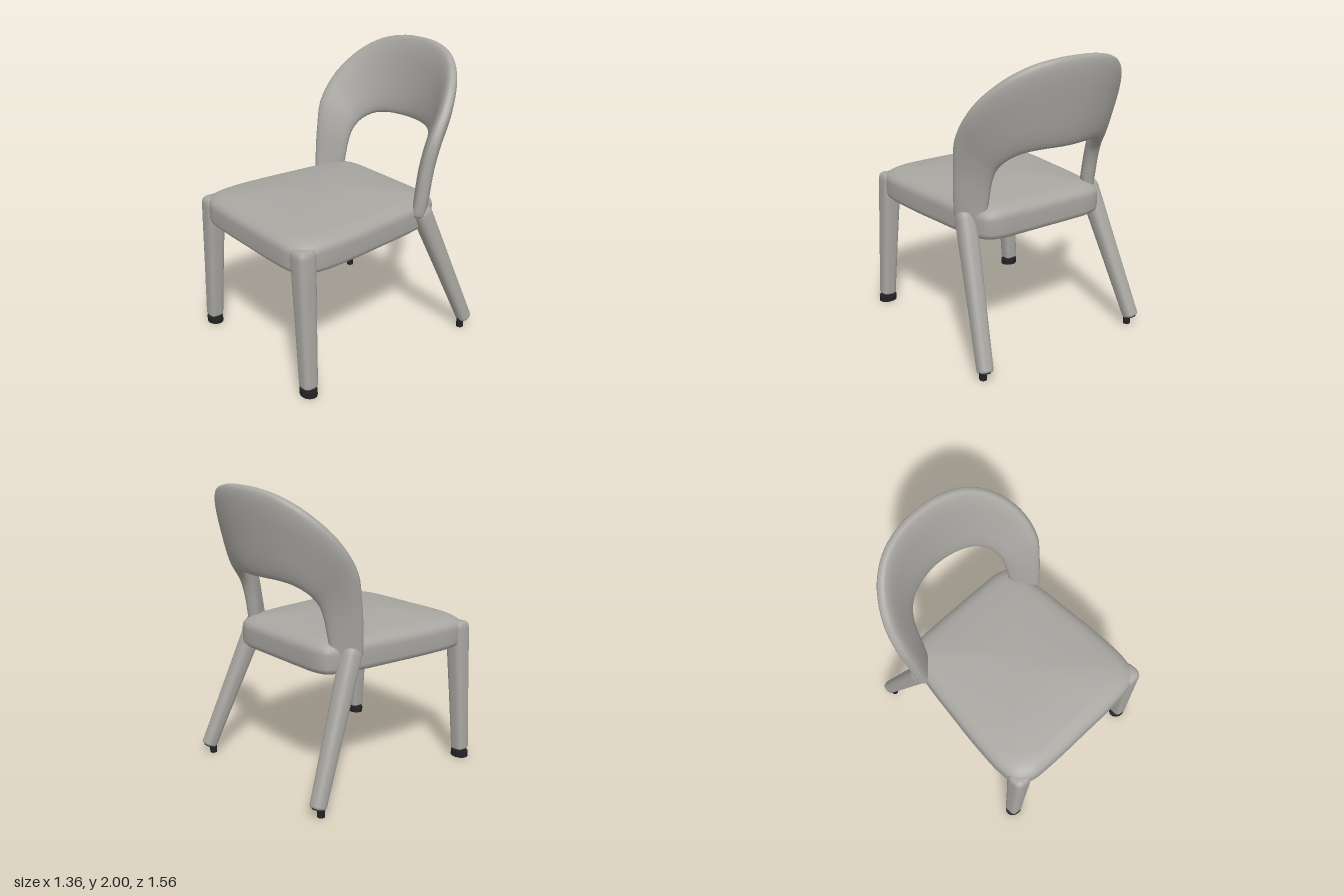
import * as THREE from 'three';

const V = (x, y, z) => new THREE.Vector3(x, y, z);

// Superellipse ring about c; u x v points along the direction of travel
function ring(c, u, v, power = 3, n = 36) {
  const soft = (k) => Math.sign(k) * Math.pow(Math.abs(k), 2 / power);
  return Array.from({ length: n }, (_, i) => {
    const t = (i / n) * Math.PI * 2;
    return c.clone().addScaledVector(u, soft(Math.cos(t))).addScaledVector(v, soft(Math.sin(t)));
  });
}

// Smooth closed skin over a list of rings with capped ends
function loft(rings) {
  const n = rings[0].length, last = rings.length - 1, index = [];
  const centre = (r) => r.reduce((s, p) => s.add(p), V(0, 0, 0)).divideScalar(n);
  const points = [...rings.flat(), centre(rings[0]), centre(rings[last])];
  const start = n * rings.length, end = start + 1;
  for (let j = 0; j < n; j++) {
    const k = (j + 1) % n;
    for (let i = 0; i < last; i++) {
      const a = i * n + j, b = i * n + k;
      index.push(a, b, b + n, a, b + n, a + n);
    }
    index.push(start, k, j, end, last * n + j, last * n + k);
  }
  const g = new THREE.BufferGeometry().setFromPoints(points);
  g.setIndex(index);
  g.computeVertexNormals();
  return g;
}

// Seat cushion: one outline stacked in rings, domed on top
function seatGeometry() {
  const half = [[0.3, 0.78], [0.46, 0.765], [0.55, 0.71], [0.582, 0.6], [0.58, 0.35], [0.555, 0.05],
    [0.53, -0.2], [0.5, -0.36], [0.46, -0.445], [0.38, -0.478], [0.2, -0.485]];
  const pts = [[0, 0.782], ...half, [0, -0.485], ...half.map(([x, z]) => [-x, z]).reverse()];
  const outline = new THREE.CatmullRomCurve3(pts.map(([x, z]) => V(x, 0, z)), true).getPoints(120).slice(0, 120);
  const zc = 0.15;
  const level = (inset, y) => outline.map((p) =>
    V(p.x * (1 - inset / 0.57), y, zc + (p.z - zc) * (1 - inset / 0.63)));
  const rings = [[0.07, 0.831], [0.05, 0.831], [0.02, 0.838], [0.006, 0.852], [0, 0.875], [0, 0.965],
    [0.004, 0.99], [0.016, 1.01], [0.04, 1.028]].map(([i, y]) => level(i, y));
  for (const s of [0.88, 0.8, 0.65, 0.5, 0.3, 0.12])
    rings.push(level(0.57 * (1 - s), 1.03 + 0.057 * (1 - s * s)));
  return loft(rings);
}

// Backrest: plate swept along the arch between its inner and outer edges
function backrestGeometry() {
  const outer = [[0.555, 0.97, -0.22], [0.57, 1.1, -0.235], [0.582, 1.3, -0.26], [0.597, 1.5, -0.31],
    [0.567, 1.7, -0.44], [0.465, 1.86, -0.585], [0.33, 1.95, -0.68], [0.17, 1.99, -0.73], [0, 2, -0.745]];
  const inner = [[0.42, 0.97, -0.38], [0.41, 1.08, -0.395], [0.405, 1.2, -0.42], [0.395, 1.29, -0.455],
    [0.365, 1.36, -0.51], [0.3, 1.41, -0.57], [0.21, 1.43, -0.615], [0.1, 1.435, -0.645], [0, 1.435, -0.655]];
  const arch = (h) => new THREE.CatmullRomCurve3(
    [...h, ...h.slice(0, -1).reverse().map(([x, y, z]) => [-x, y, z])].map((p) => V(...p)));
  const O = arch(outer), I = arch(inner), N = 72;
  const section = (t, scale, shift) => {
    const o = O.getPoint(t), i = I.getPoint(t);
    const w = o.clone().sub(i).multiplyScalar(0.5);
    const d = O.getTangent(t).add(I.getTangent(t)).normalize();
    const v = d.clone().cross(w).normalize();
    const c = o.add(i).multiplyScalar(0.5).addScaledVector(d, shift);
    return ring(c, w.multiplyScalar(scale), v.multiplyScalar(0.05 * scale), 3, 48);
  };
  const rings = [section(0, 0.65, -0.035), section(0, 0.9, -0.022)];
  for (let k = 0; k <= N; k++) rings.push(section(k / N, 1, 0));
  rings.push(section(1, 0.9, 0.022), section(1, 0.65, 0.035));
  return loft(rings);
}

// Tapered leg from foot to top with softened ends
function legGeometry(foot, top, r0, r1, power) {
  const d = top.clone().sub(foot), length = d.length();
  d.normalize();
  const v = V(1, 0, 0).addScaledVector(d, -d.x).normalize(), u = v.clone().cross(d);
  const stations = [[0, r0 * 0.75], [0.003, r0 * 0.9], [0.015, r0], [length * 0.45, r0 + (r1 - r0) * 0.42],
    [length * 0.8, r0 + (r1 - r0) * 0.85], [length - 0.05, r1], [length - 0.02, r1 * 0.93],
    [length - 0.006, r1 * 0.75], [length, r1 * 0.45]];
  return loft(stations.map(([s, r]) => ring(foot.clone().addScaledVector(d, s),
    u.clone().multiplyScalar(r), v.clone().multiplyScalar(r), power)));
}

export function createModel() {
  const model = new THREE.Group();
  model.name = 'chair';
  const fabric = new THREE.MeshStandardMaterial({ color: 0xa8a6a1 });
  fabric.name = 'grey upholstery';
  const rubber = new THREE.MeshStandardMaterial({ color: 0x222222 });
  rubber.name = 'black rubber';
  const add = (name, geometry, material) => {
    const m = new THREE.Mesh(geometry, material);
    m.name = name;
    model.add(m);
    return m;
  };

  add('seat', seatGeometry(), fabric);
  add('backrest', backrestGeometry(), fabric);

  for (const [side, s] of [['left', 1], ['right', -1]]) {
    add(side + 'FrontLeg', legGeometry(V(s * 0.572, 0.055, 0.717), V(s * 0.515, 1.005, 0.7), 0.053, 0.07, 3.2), fabric);
    add(side + 'BackLeg', legGeometry(V(s * 0.63, 0.066, -0.657), V(s * 0.512, 1.0, -0.275), 0.05, 0.066, 2.6), fabric);

    // Front glides: wide pad with a narrow neck
    const pad = add(side + 'FrontFoot', new THREE.CylinderGeometry(0.054, 0.054, 0.04, 28), rubber);
    pad.position.set(s * 0.571, 0.02, 0.717);
    pad.scale.x = 1.2;
    add(side + 'FrontFootNeck', new THREE.CylinderGeometry(0.04, 0.04, 0.03, 24), rubber)
      .position.set(s * 0.571, 0.048, 0.717);

    // Back glides: small stud under the tilted end, with a tilted end plate
    add(side + 'BackFoot', new THREE.CylinderGeometry(0.025, 0.025, 0.075, 20), rubber)
      .position.set(s * 0.625, 0.0375, -0.625);
    const plate = add(side + 'BackFootPlate', new THREE.CylinderGeometry(0.036, 0.036, 0.012, 24), rubber);
    plate.position.set(s * 0.63, 0.064, -0.657);
    plate.quaternion.setFromUnitVectors(V(0, 1, 0), V(s * -0.118, 0.934, 0.382).normalize());
  }
  return model;
}
